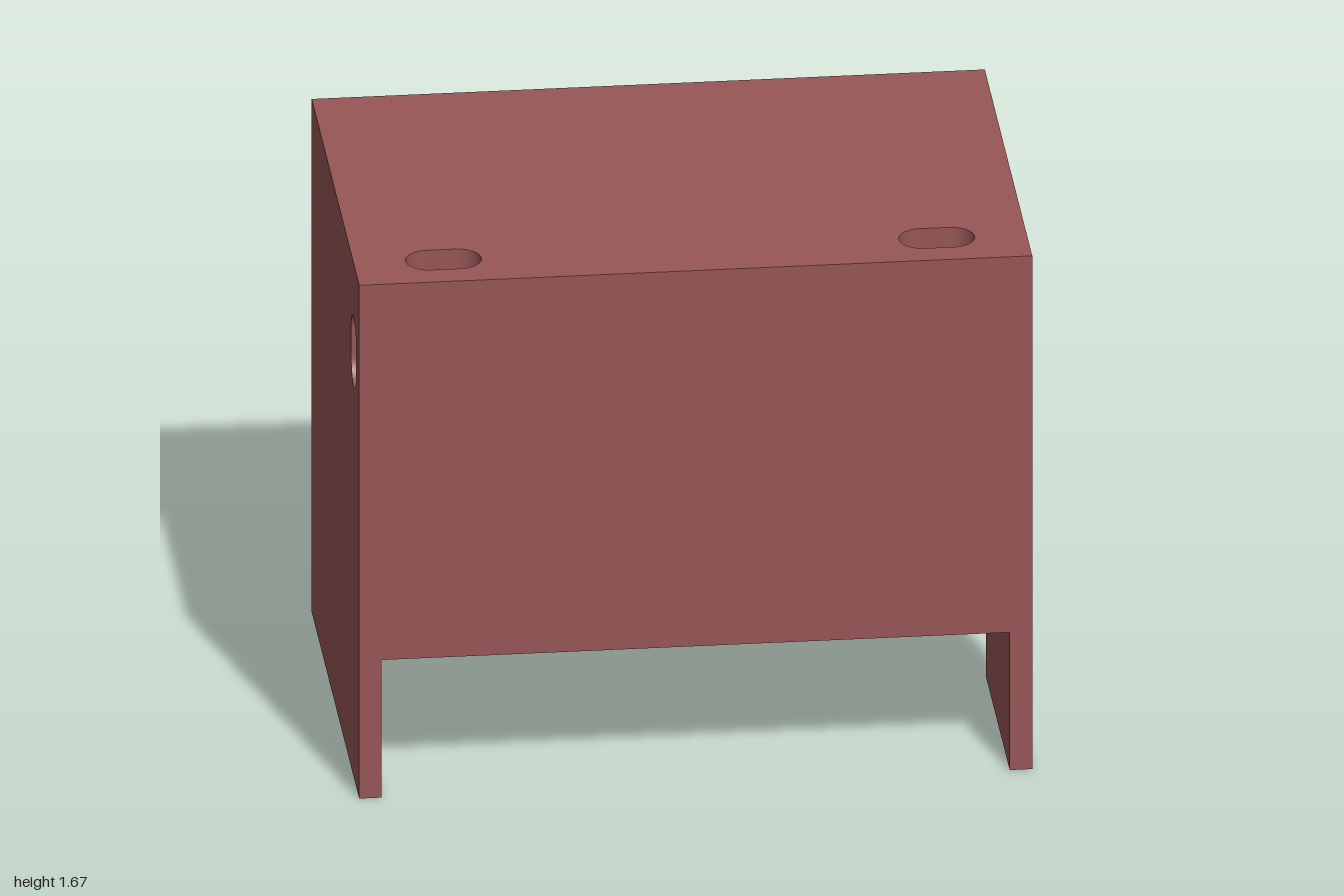
import * as THREE from 'three';

const T = 0.067;      // board thickness
const W = 1;          // half width
const D = 0.667;      // half depth
const TOP = 1.667;    // overall height
const UNDER = TOP - T;

// Rounded slot centred on (cx, cy), its long direction along x or y
function slot(cx, cy, vertical) {
  const r = 0.07, h = 0.0425;
  const p = new THREE.Path();
  if (vertical) {
    p.absarc(cx, cy + h, r, 0, Math.PI);
    p.absarc(cx, cy - h, r, Math.PI, 2 * Math.PI);
  } else {
    p.absarc(cx + h, cy, r, -Math.PI / 2, Math.PI / 2);
    p.absarc(cx - h, cy, r, Math.PI / 2, 1.5 * Math.PI);
  }
  p.closePath();
  return p;
}

// Rectangular board with holes, extruded by the board thickness
function board(x0, y0, x1, y1, holes = []) {
  const s = new THREE.Shape();
  s.moveTo(x0, y0).lineTo(x1, y0).lineTo(x1, y1).lineTo(x0, y1).closePath();
  s.holes.push(...holes);
  return new THREE.ExtrudeGeometry(s, { depth: T, bevelEnabled: false, curveSegments: 16 });
}

export function createModel() {
  const group = new THREE.Group();
  const material = new THREE.MeshStandardMaterial({ color: 0x985656 });
  const add = (name, geometry) => {
    const mesh = new THREE.Mesh(geometry, material);
    mesh.name = name;
    group.add(mesh);
  };

  // Desktop with two cable slots near the front edge
  const topSlots = [-1, 1].map((s) => slot(s * 0.733, 0.51, false));
  add('desktop', board(-W, -D, W, D, topSlots).rotateX(Math.PI / 2).translate(0, TOP, 0));

  // Side panels: the left one is half depth, the right one full depth
  const side = (back, outerX) =>
    board(back, 0, D, UNDER, [slot(0.51, 1.38, true)]).rotateY(-Math.PI / 2).translate(outerX, 0, 0);
  add('leftPanel', side(0, W));
  add('rightPanel', side(-D, -W + T));

  // Front panel between the sides, raised off the floor
  add('frontPanel', board(-W + T, 0.447, W - T, UNDER).translate(0, 0, D - T));

  return group;
}
